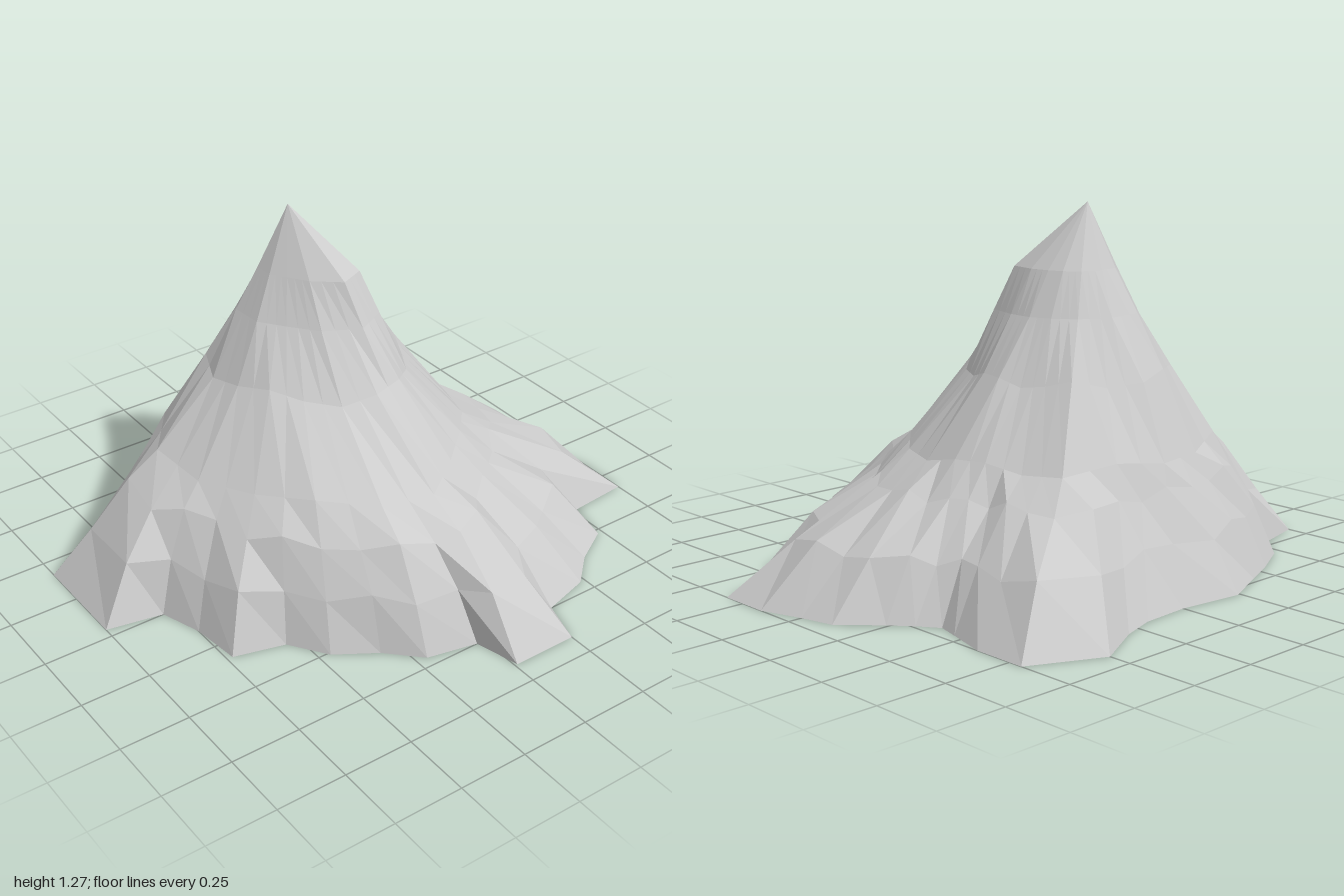
import * as THREE from 'three';

const PEAK = new THREE.Vector3(-0.22, 1.27, 0.11);

// Ground outline as x, z pairs, running round the mountain
const OUTLINE = [
  -0.80, -0.75, -0.61, -0.75, -0.46, -0.71, -0.38, -0.69, -0.31, -0.74, -0.24, -0.80,
  -0.12, -0.92, 0.00, -0.95, 0.15, -1.00, 0.34, -1.00, 0.36, -0.77, 0.52, -0.73,
  0.60, -0.59, 0.70, -0.48, 0.75, -0.30, 0.91, -0.25, 0.91, -0.01, 0.75, 0.03,
  0.71, 0.21, 0.60, 0.32, 0.51, 0.46, 0.38, 0.55, 0.33, 0.73, 0.15, 0.75,
  0.00, 0.80, -0.04, 1.00, -0.42, 1.00, -0.47, 0.80, -0.58, 0.71, -0.66, 0.56,
  -0.72, 0.42, -0.80, 0.24, -0.77, 0.00, -0.78, -0.18, -0.82, -0.31, -0.92, -0.50,
];
const COUNT = OUTLINE.length / 2;

// Ring heights, how much of the outline's jaggedness each keeps,
// how evenly its columns are spread, and its facet width in columns
const LEVELS = [0, 0.19, 0.35, 0.45, 0.7, 0.9, 1.05];
const JAGGED = [1, 0.65, 0.25, 0, 0, 0, 0];
const EVEN = [0, 0.3, 0.7, 1, 1, 1, 1];
const STEP = [1, 1, 1, 2, 2, 3, 3];

// Ridges and gullies: direction in degrees from +x towards +z, then the radius at each level
const SPOKES = [
  [0, 0.97, 0.91, 0.81, 0.70, 0.41, 0.26, 0.17],
  [30, 0.80, 0.74, 0.67, 0.57, 0.32, 0.18, 0.11],
  [60, 0.76, 0.69, 0.58, 0.49, 0.28, 0.17, 0.10],
  [90, 0.88, 0.76, 0.64, 0.54, 0.30, 0.19, 0.11],
  [120, 0.70, 0.62, 0.53, 0.46, 0.30, 0.19, 0.11],
  [150, 0.60, 0.52, 0.44, 0.39, 0.27, 0.18, 0.10],
  [180, 0.56, 0.48, 0.41, 0.38, 0.28, 0.18, 0.10],
  [210, 0.71, 0.57, 0.46, 0.41, 0.28, 0.18, 0.11],
  [230, 0.99, 0.84, 0.63, 0.52, 0.33, 0.20, 0.13],
  [255, 0.85, 0.73, 0.58, 0.50, 0.33, 0.22, 0.15],
  [280, 1.07, 0.92, 0.68, 0.56, 0.38, 0.25, 0.17],
  [298, 1.20, 0.99, 0.73, 0.61, 0.38, 0.27, 0.20],
  [330, 1.09, 0.92, 0.72, 0.61, 0.43, 0.34, 0.27],
  [347, 1.15, 0.98, 0.81, 0.69, 0.43, 0.31, 0.23],
  [360, 0.97, 0.91, 0.81, 0.70, 0.41, 0.26, 0.17],
];

// Radius of the smooth massif in one direction at one level
function massifRadius(direction, level) {
  const angle = THREE.MathUtils.euclideanModulo(direction, 360);
  const i = Math.max(1, SPOKES.findIndex((s) => s[0] >= angle));
  const a = SPOKES[i - 1], b = SPOKES[i];
  return THREE.MathUtils.lerp(a[level + 1], b[level + 1], (angle - a[0]) / (b[0] - a[0]));
}

// Direction and radius of each outline corner, with directions rising steadily
function outlineColumns() {
  const columns = [];
  for (let i = 0; i < COUNT; i++) {
    const dx = OUTLINE[2 * i] - PEAK.x, dz = OUTLINE[2 * i + 1] - PEAK.z;
    let angle = THREE.MathUtils.radToDeg(Math.atan2(dz, dx));
    while (i > 0 && angle < columns[i - 1].angle - 180) angle += 360;
    columns.push({ angle, radius: Math.hypot(dx, dz) });
  }
  return columns;
}

// Mean direction of the columns near column i
function evenAngle(columns, i) {
  const reach = 3;
  let sum = 0;
  for (let n = i - reach; n <= i + reach; n++) {
    sum += columns[(n + COUNT) % COUNT].angle + 360 * Math.floor(n / COUNT);
  }
  return sum / (2 * reach + 1);
}

function buildRings() {
  const columns = outlineColumns();
  return LEVELS.map((height, k) => {
    const ring = columns.map(({ angle, radius }, i) => {
      const direction = THREE.MathUtils.lerp(angle, evenAngle(columns, i), EVEN[k]);
      const r = massifRadius(direction, k) * (radius / massifRadius(angle, 0)) ** JAGGED[k];
      // slight unevenness of the rock ledges
      const bump = k > 0 && k < 5 ? 0.018 * Math.sin(i * 2.3 + k * 1.9) : 0;
      const t = THREE.MathUtils.degToRad(direction);
      return new THREE.Vector3(PEAK.x + r * Math.cos(t), height + bump, PEAK.z + r * Math.sin(t));
    });
    // broad flat facets higher up: straighten the columns between the kept ones
    const step = STEP[k];
    return ring.map((p, i) => {
      const from = i - (i % step);
      return ring[from].clone().lerp(ring[(from + step) % COUNT], (i % step) / step);
    });
  });
}

function mountainGeometry() {
  const rings = buildRings();
  const top = rings[rings.length - 1];
  const points = [];
  for (let i = 0; i < COUNT; i++) {
    const j = (i + 1) % COUNT;
    for (let k = 0; k < rings.length - 1; k++) {
      const a = rings[k][i], b = rings[k][j], c = rings[k + 1][j], d = rings[k + 1][i];
      points.push(a, d, c, a, c, b);
    }
    // summit facets
    points.push(top[i], PEAK, top[j]);
  }
  const geometry = new THREE.BufferGeometry().setFromPoints(points);
  geometry.computeVertexNormals();
  return geometry;
}

export function createModel() {
  const group = new THREE.Group();
  group.name = 'mountain';
  // open-bottomed rock shell
  const rock = new THREE.Mesh(
    mountainGeometry(),
    new THREE.MeshStandardMaterial({ color: 0xcccccc, flatShading: true, side: THREE.DoubleSide }),
  );
  rock.name = 'rockFace';
  group.add(rock);
  return group;
}
